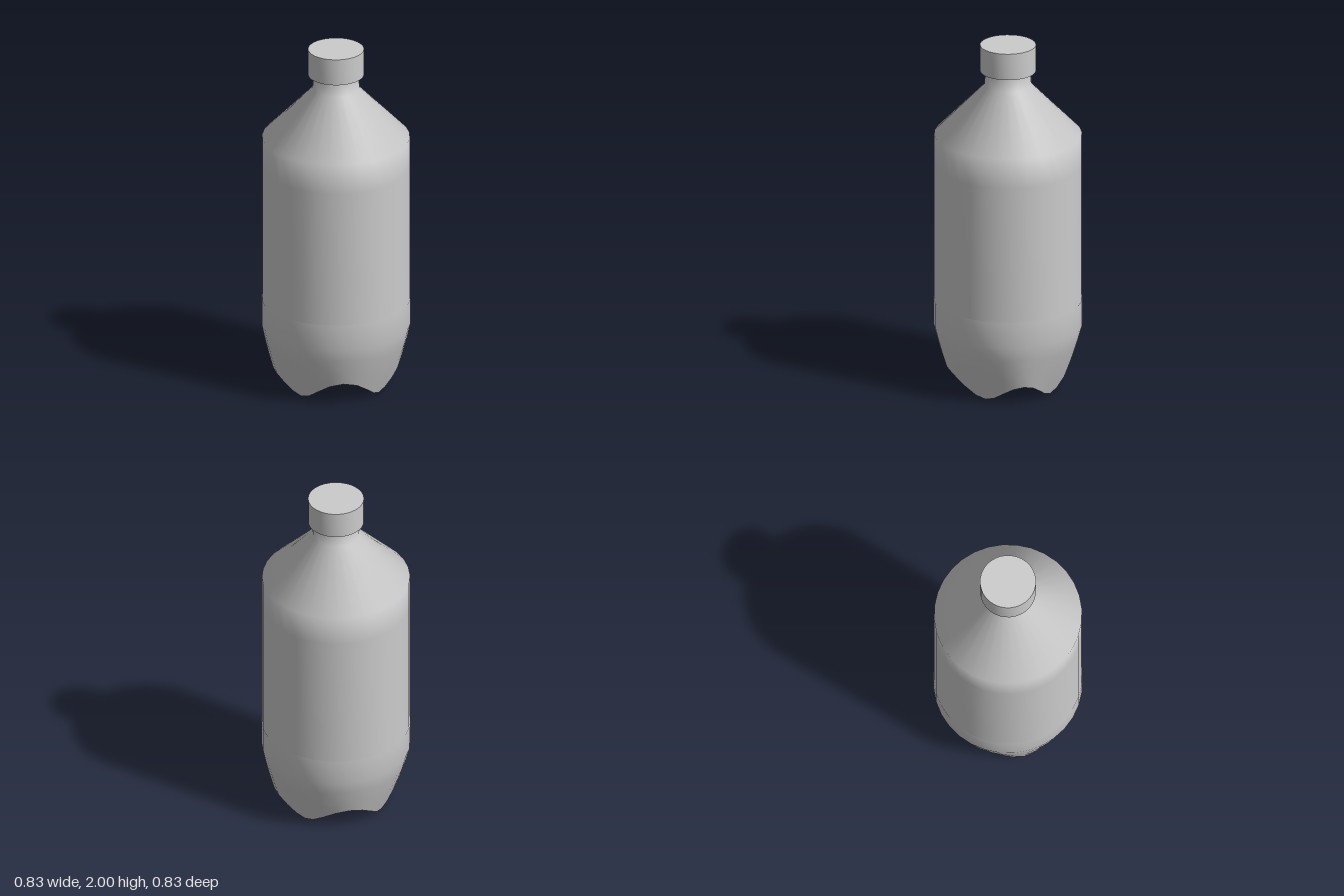
import * as THREE from 'three';
import { toCreasedNormals } from 'three/addons/utils/BufferGeometryUtils.js';

const SIDES = 32;
const material = new THREE.MeshStandardMaterial({ color: 0xcccccc, side: THREE.DoubleSide });

function turned(name, profile, crease) {
  const points = profile.map(([r, y]) => new THREE.Vector2(r, y));
  const geometry = toCreasedNormals(new THREE.LatheGeometry(points, SIDES), crease);
  const mesh = new THREE.Mesh(geometry, material);
  mesh.name = name;
  return mesh;
}

// Profile of the base from the recess centre out to the wall.
// t is 0 at the middle of a foot and 1 in the valley between two feet.
function baseProfile(t, valley) {
  const rimR = 0.285 + 0.065 * t, rimY = valley * t;
  const innerR = 0.19, innerY = 0.04 + (valley - 0.03) * t;
  const mix = THREE.MathUtils.lerp;
  return [
    [0, 0.2], [innerR, 0.2], [innerR, innerY],
    [mix(innerR, rimR, 0.5), mix(innerY, rimY, 0.6)],
    [rimR, rimY],
    [mix(rimR, 0.413, 0.4), mix(rimY, 0.36, 0.35)],
    [mix(rimR, 0.413, 0.75), mix(rimY, 0.36, 0.7)],
    [0.413, 0.36], [0.413, 0.51],
  ];
}

// Four-footed base: a lathe whose rings are scalloped around the axis
function createBase() {
  const start = baseProfile(0, 0.1).map(([r, y]) => new THREE.Vector2(r, y));
  const geometry = new THREE.LatheGeometry(start, SIDES);
  const position = geometry.attributes.position;
  for (let i = 0; i < position.count; i++) {
    const ring = i % start.length;
    const a = (Math.floor(i / start.length) / SIDES) * Math.PI * 2;
    const t = 0.5 + 0.5 * Math.cos(4 * a);
    const valley = 0.115 + 0.015 * Math.cos(2 * a);
    const [r, y] = baseProfile(t, valley)[ring];
    // feet sit slightly wider in x than in z
    const turn = ring < 7 ? a + 0.08 * Math.sin(2 * a) : a;
    position.setXYZ(i, r * Math.sin(turn), y, r * Math.cos(turn));
  }
  const mesh = new THREE.Mesh(toCreasedNormals(geometry, 0.8), material);
  mesh.name = 'footedBase';
  return mesh;
}

export function createModel() {
  const bottle = new THREE.Group();
  bottle.name = 'bottle';
  bottle.add(
    createBase(),
    // straight wall, sloping shoulder and neck
    turned('body', [[0.41, 0.38], [0.41, 1.3], [0.41, 1.475], [0.13, 1.765], [0.127, 1.86]], 1),
    // screw cap
    turned('cap', [[0.12, 1.847], [0.155, 1.847], [0.155, 2], [0, 2]], 0.8),
  );
  return bottle;
}
